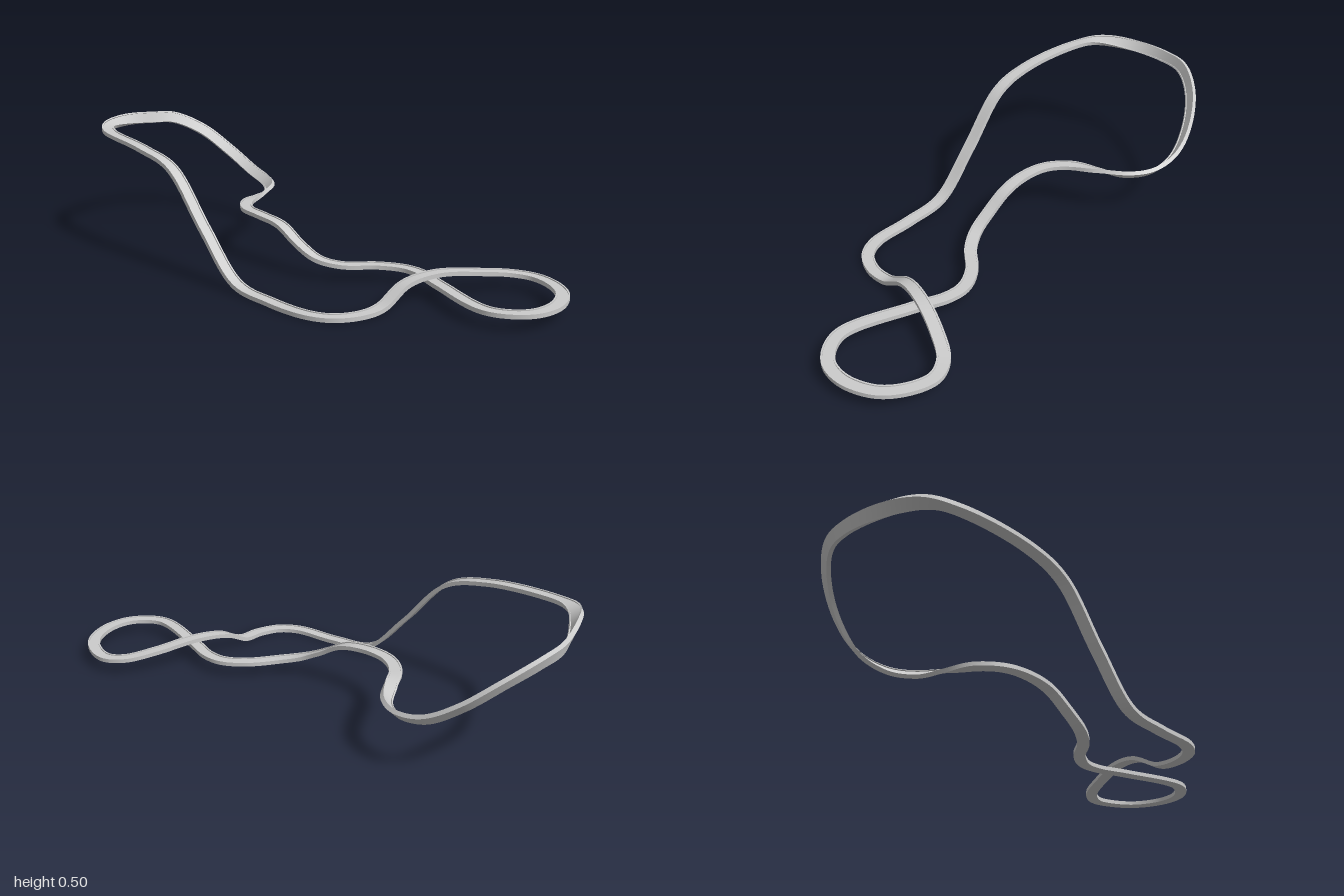
import * as THREE from 'three';

// Centre line of the circuit, as x, y, z along the lap
const stations = [
  [-0.38, 0.009, 0.18], [-0.372, 0.009, 0.36], [-0.33, 0.009, 0.44],
  [-0.245, 0.009, 0.488], [-0.155, 0.015, 0.498], [-0.04, 0.072, 0.508],
  [0.085, 0.09, 0.548], [0.245, 0.073, 0.622], [0.345, 0.06, 0.69],
  [0.38, 0.055, 0.765], [0.355, 0.055, 0.855], [0.287, 0.055, 0.934],
  [0.165, 0.055, 0.973], [0.06, 0.055, 0.945], [-0.01, 0.055, 0.835],
  [0.07, 0.055, 0.575], [0.12, 0.055, 0.45], [0.122, 0.055, 0.37],
  [0.074, 0.056, 0.28], [-0.02, 0.058, 0.19], [-0.068, 0.075, 0.11],
  [-0.081, 0.115, 0.025], [-0.081, 0.17, -0.075], [-0.081, 0.186, -0.185],
  [-0.06, 0.187, -0.29], [0.005, 0.187, -0.366], [0.11, 0.187, -0.412],
  [0.217, 0.187, -0.464], [0.28, 0.193, -0.546], [0.3, 0.222, -0.663],
  [0.276, 0.294, -0.78], [0.21, 0.385, -0.89], [0.11, 0.443, -0.965],
  [0, 0.456, -0.985], [-0.155, 0.471, -0.955], [-0.285, 0.472, -0.895],
  [-0.34, 0.464, -0.81], [-0.38, 0.444, -0.53], [-0.38, 0.395, -0.35],
  [-0.38, 0.2, -0.17], [-0.38, 0.032, 0],
];
const STEPS = 500;

// Bank angle in degrees at a station: builds through the rear bend, then levels out
function bankAt(u) {
  const ramp = THREE.MathUtils.smoothstep;
  return 45 * ramp(u, 25, 27) + 30 * ramp(u, 29.5, 33) - 75 * ramp(u, 33, 36);
}

// Position, sideways and normal direction at even steps along the lap
function makeFrames() {
  const curve = new THREE.CatmullRomCurve3(
    stations.map((p) => new THREE.Vector3(...p)), true);
  const up = new THREE.Vector3(0, 1, 0);
  return Array.from({ length: STEPS }, (_, i) => {
    const t = i / STEPS;
    const bank = THREE.MathUtils.degToRad(bankAt(t * stations.length));
    const tangent = curve.getTangent(t);
    const side = tangent.clone().cross(up).normalize().applyAxisAngle(tangent, -bank);
    const normal = side.clone().cross(tangent).normalize();
    return { point: curve.getPoint(t), side, normal };
  });
}

// Sweeps a rectangular section round the closed lap, with crisp long edges
function sweep(name, frames, s0, s1, n0, n1, material) {
  const corners = [[s0, n0], [s1, n0], [s1, n1], [s0, n1]];
  const positions = [];
  const index = [];
  corners.forEach((a, e) => {
    const b = corners[(e + 1) % 4];
    const base = e * STEPS * 2;
    frames.forEach(({ point, side, normal }, i) => {
      for (const [s, n] of [a, b]) {
        const p = point.clone().addScaledVector(side, s).addScaledVector(normal, n);
        positions.push(p.x, p.y, p.z);
      }
      const c = base + i * 2;
      const d = base + ((i + 1) % STEPS) * 2;
      index.push(c, d, d + 1, c, d + 1, c + 1);
    });
  });
  const geometry = new THREE.BufferGeometry();
  geometry.setAttribute('position', new THREE.Float32BufferAttribute(positions, 3));
  geometry.setIndex(index);
  geometry.computeVertexNormals();
  const mesh = new THREE.Mesh(geometry, material);
  mesh.name = name;
  return mesh;
}

export function createModel() {
  const group = new THREE.Group();
  group.name = 'raceTrack';
  const material = new THREE.MeshStandardMaterial({ color: 0xcccccc });
  const frames = makeFrames();
  // Road slab between two slightly raised kerbs
  group.add(
    sweep('roadBed', frames, -0.018, 0.018, -0.008, 0.004, material),
    sweep('leftKerb', frames, -0.024, -0.018, -0.008, 0.008, material),
    sweep('rightKerb', frames, 0.018, 0.024, -0.008, 0.008, material),
  );
  return group;
}
